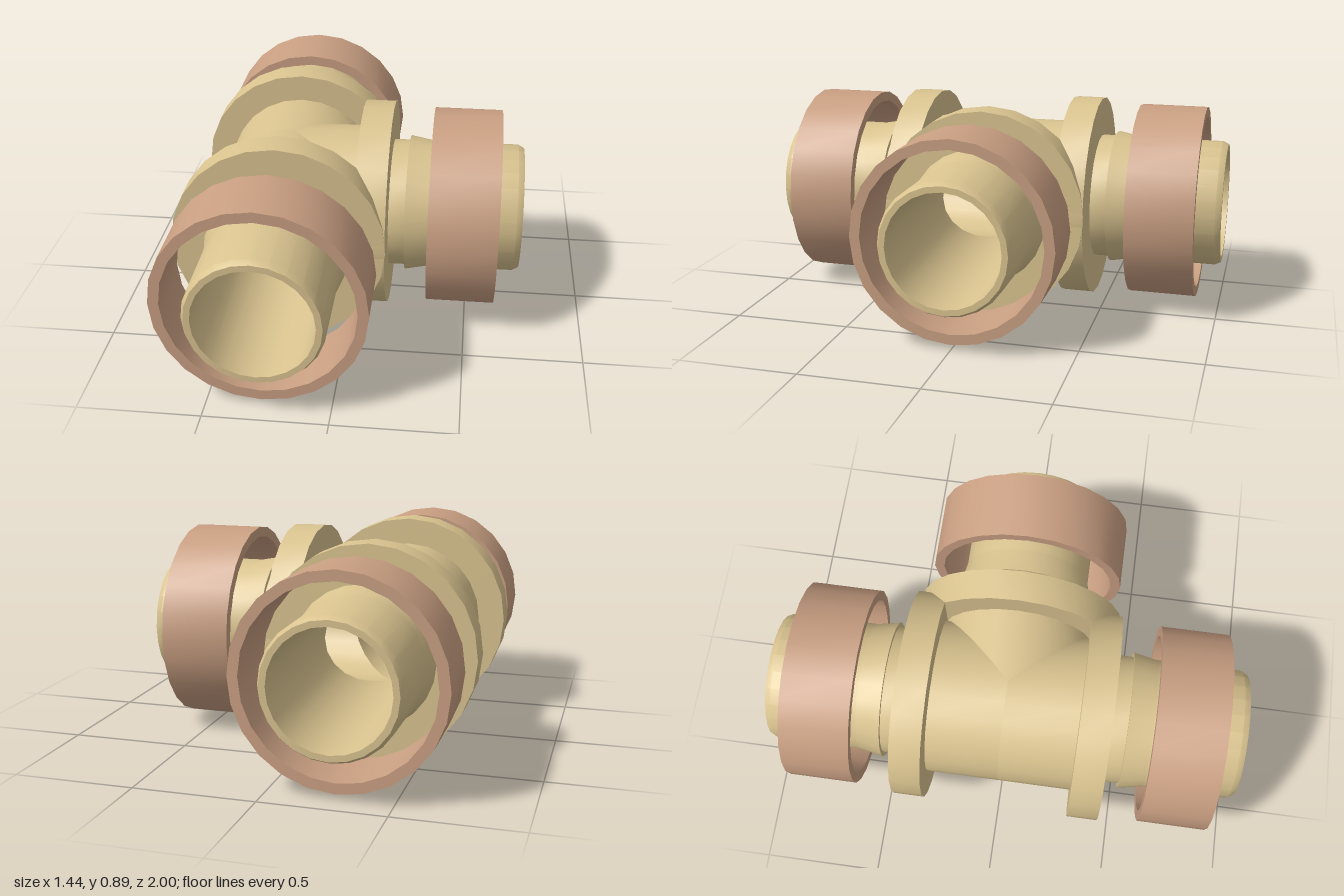
import * as THREE from 'three';
import { toCreasedNormals } from 'three/addons/utils/BufferGeometryUtils.js';

const SIDES = 24;
const AXIS_X = -0.278, AXIS_Y = 0.444;

// Revolve a [radius, distance] profile around +z; points at distance 0 follow the mitre rule.
function revolve(profile, mitre) {
  const geo = new THREE.LatheGeometry(profile.map(([r, d]) => new THREE.Vector2(r, d)), SIDES);
  const pos = geo.attributes.position;
  if (mitre) {
    for (let i = 0; i < pos.count; i++) {
      if (pos.getY(i) === 0) pos.setY(i, Math.min(0.31, mitre(pos.getX(i))));
    }
  }
  geo.rotateX(Math.PI / 2);
  return toCreasedNormals(geo, 0.5);
}

// Body, flange, barb, spigot end and bore in one continuous profile
const armProfile = [
  [0.33, 0], [0.33, 0.31], [0.444, 0.31], [0.444, 0.44],
  [0.275, 0.44], [0.275, 0.51], [0.295, 0.51], [0.276, 0.61],
  [0.275, 0.62], [0.275, 0.975], [0.262, 1], [0.237, 1], [0.237, 0],
];

// Loose compression ring, rectangular in section
const ringProfile = [[0.38, 0.61], [0.423, 0.61], [0.423, 0.9], [0.38, 0.9], [0.38, 0.61]];

export function createModel() {
  const tan = new THREE.MeshStandardMaterial({ color: 0xd9c38f });
  const copper = new THREE.MeshStandardMaterial({ color: 0xc99f82 });
  const model = new THREE.Group();
  model.name = 'teePipeFitting';

  // The run is cut away only on the branch side; the branch is cut on both sides.
  const runMitre = (x) => Math.max(0, x);
  const branchMitre = (x) => Math.abs(x);
  const arms = [
    ['front', runMitre, 0, 0],
    ['back', runMitre, Math.PI, 0],
    ['branch', branchMitre, 0, Math.PI / 2],
  ];

  for (const [name, mitre, rx, ry] of arms) {
    const arm = new THREE.Group();
    arm.name = name + 'Arm';

    const pipe = new THREE.Mesh(revolve(armProfile, mitre), tan);
    pipe.name = name + 'FlangedPipe';
    const ring = new THREE.Mesh(revolve(ringProfile), copper);
    ring.name = name + 'CompressionRing';

    arm.add(pipe, ring);
    arm.rotation.set(rx, ry, 0);
    arm.position.set(AXIS_X, AXIS_Y, 0);
    model.add(arm);
  }
  return model;
}
